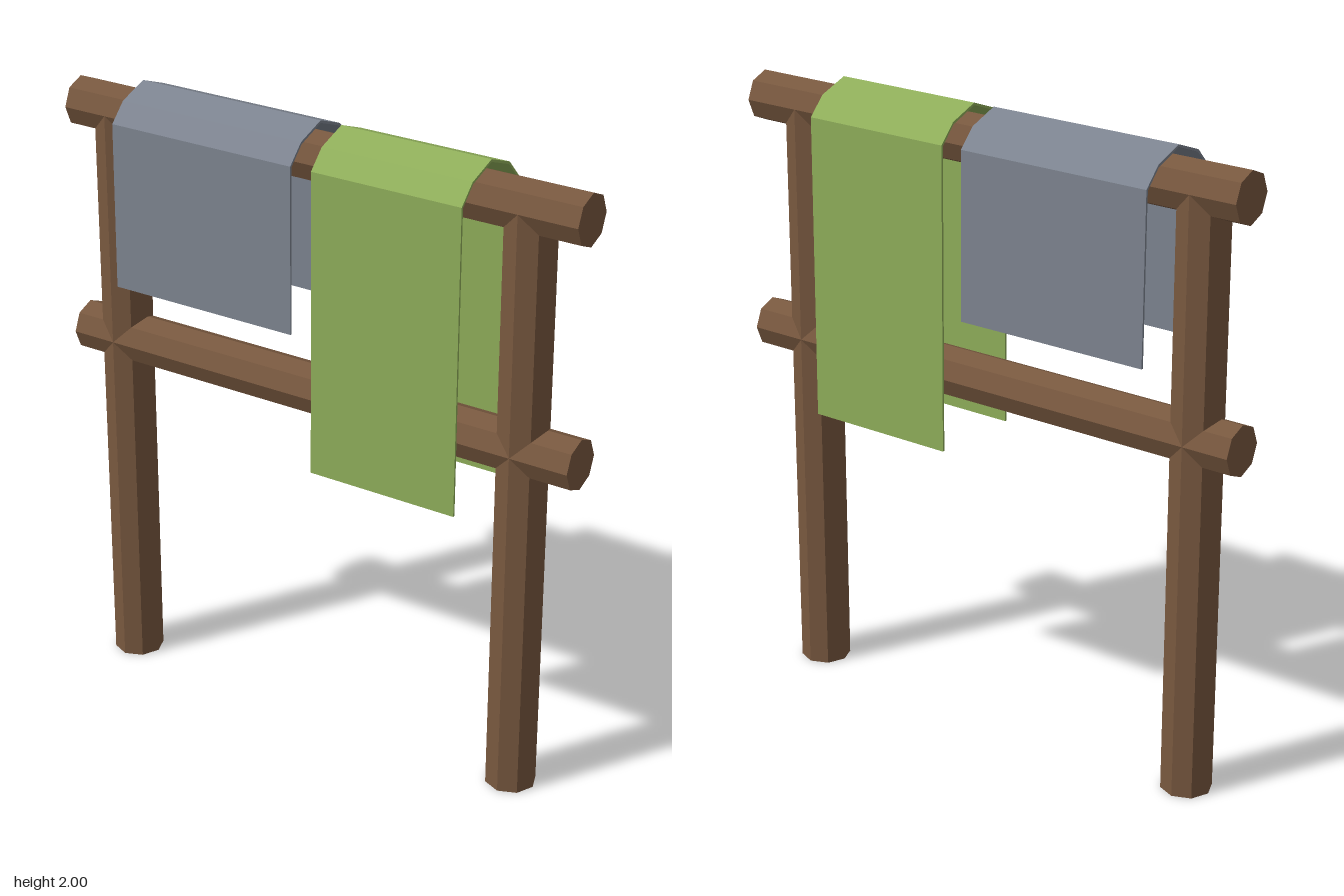
import * as THREE from 'three';

const mat = (color) => new THREE.MeshStandardMaterial({ color, flatShading: true });

export function createModel() {
  const model = new THREE.Group();
  const wood = mat(0x78583f);

  // Eight-sided log with one edge facing the front and the top
  function log(name, length, x, y, horizontal) {
    const geo = new THREE.CylinderGeometry(0.08, 0.08, length, 8);
    if (horizontal) geo.rotateZ(Math.PI / 2);
    const mesh = new THREE.Mesh(geo, wood);
    mesh.name = name;
    mesh.position.set(x, y, 0);
    model.add(mesh);
  }

  // Two posts, joined by a top rail and a middle rail
  log('rightPost', 1.89, -0.743, 0.945, false);
  log('leftPost', 1.89, 0.705, 0.945, false);
  log('topRail', 1.79, 0, 1.89, true);
  log('middleRail', 1.79, 0, 1.14, true);

  // Thin cloth folded over the top rail, hanging down both sides
  function cloth(name, color, x0, x1, bottom) {
    const outer = [[0.159, bottom], [0.155, 1.905], [0.1, 1.963], [0, 2]];
    const inner = [[0.152, bottom], [0.148, 1.902], [0.097, 1.956], [0, 1.992]];
    const mirrored = (side) => side.slice(0, 3).reverse().map(([z, y]) => [-z, y]);
    const across = (side) => [...side, ...mirrored(side)];
    const outline = [...across(outer), ...across(inner).reverse()];
    const shape = new THREE.Shape(outline.map(([z, y]) => new THREE.Vector2(z, y)));
    const geo = new THREE.ExtrudeGeometry(shape, { depth: x1 - x0, bevelEnabled: false });
    geo.rotateY(Math.PI / 2);
    const mesh = new THREE.Mesh(geo, mat(color));
    mesh.name = name;
    mesh.position.x = x0;
    model.add(mesh);
  }

  cloth('shortGreyCloth', 0x7d8490, -0.652, -0.004, 1.38);
  cloth('longGreenCloth', 0x8fae5a, 0.068, 0.571, 0.945);

  return model;
}
